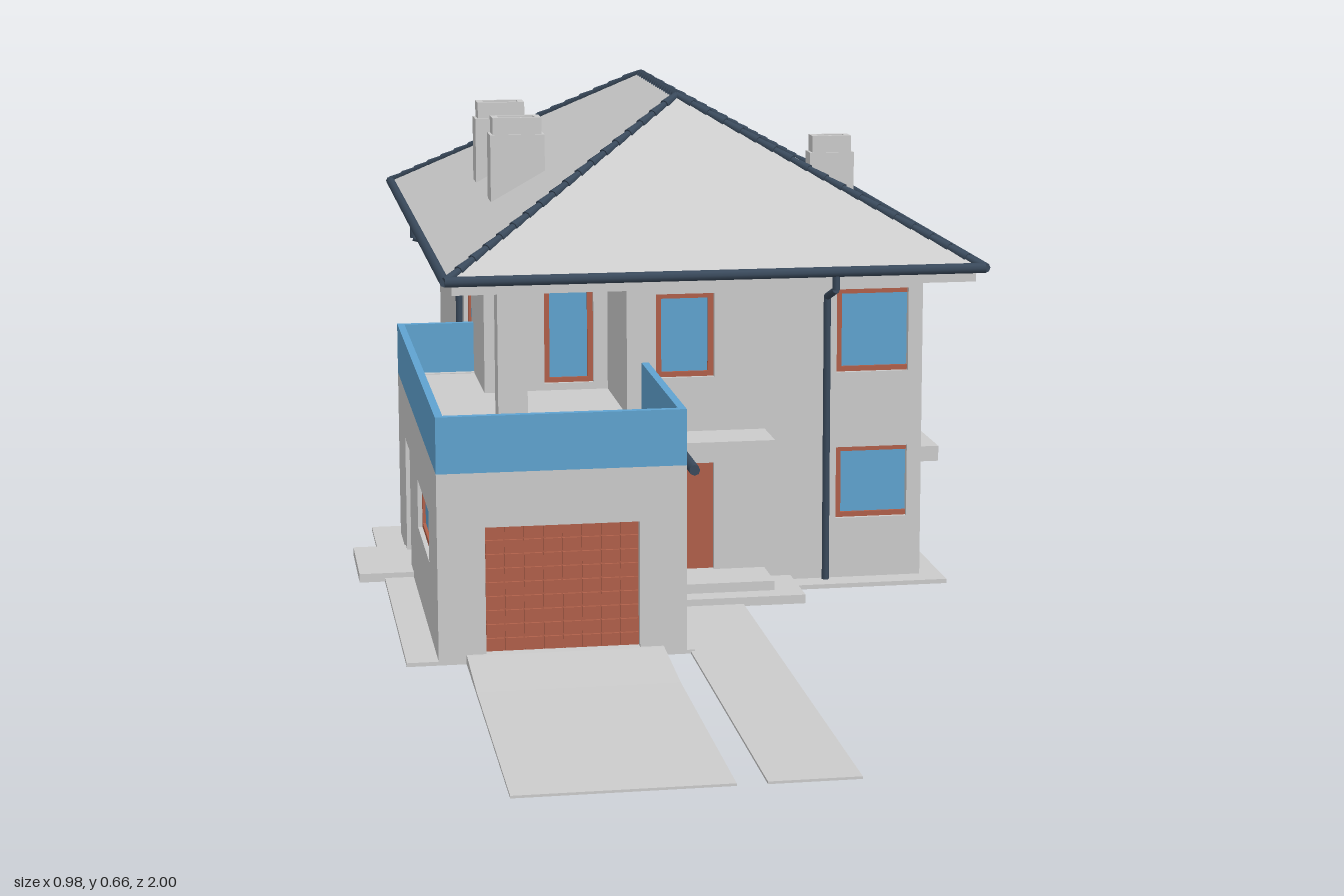
import * as THREE from 'three';

const mat = (color, side = THREE.FrontSide) => new THREE.MeshStandardMaterial({ color, side });
const GREY = mat(0xcccccc);
const GLASS = mat(0x5fa3d0);
const BROWN = mat(0xb0604a);
const DARK = mat(0x3a4a5c);
const EAVE = 0.445, SOFFIT = 0.425, TERRACE = 0.245;

function add(parent, name, geometry, material = GREY) {
  const mesh = new THREE.Mesh(geometry, material);
  mesh.name = name;
  parent.add(mesh);
  return mesh;
}

// Box from min/max limits on each axis
function block(parent, name, [x0, x1], [y0, y1], [z0, z1], material) {
  const mesh = add(parent, name, new THREE.BoxGeometry(x1 - x0, y1 - y0, z1 - z0), material);
  mesh.position.set((x0 + x1) / 2, (y0 + y1) / 2, (z0 + z1) / 2);
  return mesh;
}

// Straight run of n round pieces between two points
function rod(parent, name, a, b, r, n = 1, taper = 1) {
  const A = new THREE.Vector3(...a), B = new THREE.Vector3(...b);
  const dir = B.clone().sub(A), len = dir.length();
  for (let i = 0; i < n; i++) {
    const mesh = add(parent, name, new THREE.CylinderGeometry(r * taper, r, len / n, 8), DARK);
    mesh.position.copy(A).addScaledVector(dir, (i + 0.5) / n);
    mesh.quaternion.setFromUnitVectors(new THREE.Vector3(0, 1, 0), dir.clone().normalize());
  }
}

function rect(Kind, u0, u1, y0, y1) {
  return new Kind([[u0, y0], [u1, y0], [u1, y1], [u0, y1]].map(p => new THREE.Vector2(...p)));
}

const extrude = (shape, depth) => new THREE.ExtrudeGeometry(shape, { depth, bevelEnabled: false });

// Wall with openings [u0, u1, y0, y1, kind]; its outer face is the local z = 0 plane
function wall(parent, name, x, z, turn, [u0, u1], [y0, y1], openings = []) {
  const g = new THREE.Group();
  g.name = name;
  g.position.set(x, 0, z);
  g.rotation.y = turn * Math.PI / 2;
  parent.add(g);
  const shape = rect(THREE.Shape, u0, u1, y0, y1);
  for (const [a, b, c, d, kind = 'window'] of openings) {
    shape.holes.push(rect(THREE.Path, a, b, c, d));
    if (kind === 'door') {
      block(g, 'doorLeaf', [a, b], [c, d], [-0.018, -0.008], BROWN);
    } else if (kind === 'garageDoor') {
      const rows = 9, cols = 8, h = (d - c) / rows, w = (b - a) / cols;
      block(g, 'garageDoorBack', [a, b], [c, d], [-0.018, -0.012], BROWN);
      for (let r = 0; r < rows; r++) for (let k = 0; k < cols; k++) {
        block(g, 'garageDoorPanel', [a + k * w + 0.001, a + (k + 1) * w - 0.001],
          [c + r * h + 0.001, c + (r + 1) * h - 0.001], [-0.012, -0.008], BROWN);
      }
    } else {
      const frame = rect(THREE.Shape, a, b, c, d);
      frame.holes.push(rect(THREE.Path, a + 0.008, b - 0.008, c + 0.007, d - 0.007));
      add(g, 'windowFrame', extrude(frame, 0.012), BROWN).position.z = -0.018;
      block(g, 'windowPane', [a + 0.007, b - 0.007], [c + 0.006, d - 0.006], [-0.017, -0.01], GLASS);
    }
  }
  add(g, 'wallPanel', extrude(shape, 0.02)).position.z = -0.02;
  return g;
}

function buildWalls(house) {
  const full = [0, SOFFIT], upper = [TERRACE, SOFFIT];
  wall(house, 'frontWall', 0, 0.17, 0, [-0.13, 0.28], full, [
    [-0.09, -0.01, 0.295, 0.41], [0.16, 0.272, 0.295, 0.41], [0.16, 0.272, 0.09, 0.19],
    [-0.085, -0.01, 0.025, 0.175, 'door'],
  ]);
  wall(house, 'leftWall', 0.28, 0, 1, [-0.17, 0.61], full, [
    [-0.16, -0.05, 0.295, 0.41], [0.19, 0.28, 0.31, 0.41], [0.415, 0.525, 0.295, 0.41],
    [-0.16, -0.05, 0.09, 0.19], [0.185, 0.29, 0.09, 0.19], [0.415, 0.525, 0.09, 0.19],
  ]);
  wall(house, 'backWall', 0, -0.77, 2, [-0.09, 0.305], full,
    [[0.045, 0.205, 0.295, 0.41], [0.045, 0.205, 0.09, 0.19]]);
  wall(house, 'rightWall', -0.305, 0, -1, [-0.77, -0.02], full, [[-0.33, -0.21, 0.26, 0.41]]);
  // Back corner recess behind the balcony
  wall(house, 'balconySideWall', 0.09, 0, 1, [0.61, 0.77], full,
    [[0.62, 0.7, 0.255, 0.41], [0.62, 0.7, 0.03, 0.21]]);
  wall(house, 'balconyInnerWall', 0, -0.61, 2, [-0.28, -0.09], full,
    [[-0.24, -0.13, 0.255, 0.41], [-0.24, -0.13, 0.03, 0.21]]);
  // Front corner recess above the terrace
  wall(house, 'terraceInnerWall', 0, -0.02, 0, [-0.305, -0.13], upper, [[-0.22, -0.15, 0.255, 0.41]]);
  wall(house, 'terraceSideWall', -0.13, 0, -1, [-0.02, 0.17], upper);
  block(house, 'terracePost', [-0.305, -0.265], [TERRACE, SOFFIT], [0.13, 0.17]);
  block(house, 'balconyPost', [0.235, 0.28], [0, SOFFIT], [-0.76, -0.715]);
  block(house, 'balconySlab', [0.09, 0.28], [0.215, 0.245], [-0.765, -0.61]);
  block(house, 'balconyGlassBack', [0.09, 0.235], [0.245, 0.32], [-0.755, -0.745], GLASS);
  block(house, 'balconyGlassSide', [0.265, 0.275], [0.245, 0.32], [-0.715, -0.61], GLASS);
  // Front entrance canopy and door handle
  block(house, 'canopy', [-0.09, 0.06], [0.198, 0.22], [0.17, 0.245]);
  block(house, 'doorHandle', [-0.076, -0.071], [0.05, 0.14], [0.162, 0.176], DARK);
}

function buildGarage(garage) {
  const h = [0, TERRACE];
  wall(garage, 'garageFront', 0, 0.485, 0, [-0.415, -0.1], h, [[-0.355, -0.16, 0.012, 0.175, 'garageDoor']]);
  wall(garage, 'garageLeftWall', -0.1, 0, 1, [-0.485, -0.17], h, [[-0.335, -0.205, 0.1, 0.167]]);
  wall(garage, 'garageRightWall', -0.415, 0, -1, [-0.19, 0.485], h,
    [[0.165, 0.355, 0.1, 0.167], [-0.06, 0.025, 0.012, 0.175, 'door']]);
  wall(garage, 'garageBack', 0, -0.19, 2, [0.305, 0.415], h);
  block(garage, 'terraceFloor', [-0.41, -0.105], [0.225, 0.244], [-0.185, 0.48]);
  // Glass balustrade
  const y = [TERRACE, 0.317];
  block(garage, 'terraceGlassFront', [-0.415, -0.1], y, [0.475, 0.485], GLASS);
  block(garage, 'terraceGlassRight', [-0.415, -0.405], y, [-0.19, 0.475], GLASS);
  block(garage, 'terraceGlassLeft', [-0.11, -0.1], y, [0.17, 0.475], GLASS);
  block(garage, 'terraceGlassBack', [-0.405, -0.305], y, [-0.19, -0.18], GLASS);
  // Gutter and its downpipe
  rod(garage, 'garageGutter', [-0.09, 0.238, 0.17], [-0.09, 0.238, 0.485], 0.007);
  rod(garage, 'garageDownpipe', [-0.087, 0, 0.34], [-0.087, 0.238, 0.34], 0.005);
}

function buildRoof(roof) {
  const x0 = -0.38, x1 = 0.35, z0 = -0.83, z1 = 0.235;
  const A = [x0, EAVE, z1], B = [x1, EAVE, z1], C = [x1, EAVE, z0], D = [x0, EAVE, z0];
  const F = [-0.015, 0.65, -0.12], K = [-0.015, 0.65, -0.475];
  const geo = new THREE.BufferGeometry();
  const tris = [A, B, F, B, C, K, B, K, F, C, D, K, D, A, F, D, F, K];
  geo.setAttribute('position', new THREE.Float32BufferAttribute(tris.flat(), 3));
  geo.computeVertexNormals();
  add(roof, 'hippedRoof', geo);
  block(roof, 'soffit', [x0 + 0.01, x1 - 0.01], [SOFFIT, EAVE], [z0 + 0.01, z1 - 0.01]);
  // Ridge tiles and eave gutters
  for (const [a, b] of [[A, F], [B, F], [C, K], [D, K], [F, K]]) rod(roof, 'ridgeTile', a, b, 0.007, 18, 0.7);
  for (const [a, b] of [[A, B], [B, C], [C, D], [D, A]]) rod(roof, 'gutter', a, b, 0.007);
  // Chimneys with an open flue
  for (const [a, b, z, d, base, top] of [
    [-0.282, -0.204, -0.153, 0.046, 0.48, 0.62], [-0.282, -0.204, -0.375, 0.046, 0.48, 0.62],
    [0.185, 0.25, -0.153, 0.034, 0.48, 0.585]]) {
    block(roof, 'chimney', [a, b], [base, top - 0.024], [z - d / 2, z + d / 2]);
    const cap = rect(THREE.Shape, a + 0.004, b - 0.004, -d / 2 + 0.003, d / 2 - 0.003);
    cap.holes.push(rect(THREE.Path, a + 0.013, b - 0.013, -d / 2 + 0.01, d / 2 - 0.01));
    const mesh = add(roof, 'chimneyCap', extrude(cap, 0.024));
    mesh.rotation.x = -Math.PI / 2;
    mesh.position.set(0, top - 0.024, z);
  }
  // Downpipes: eave, bend, foot
  for (const path of [
    [[0.145, 0.44, 0.232], [0.145, 0.42, 0.232], [0.145, 0.402, 0.176], [0.145, 0, 0.176]],
    [[0.348, 0.44, -0.545], [0.348, 0.42, -0.545], [0.286, 0.402, -0.545], [0.286, 0, -0.545]],
    [[-0.378, 0.44, -0.345], [-0.378, 0.42, -0.345], [-0.311, 0.402, -0.345], [-0.311, 0, -0.345]],
    [[-0.285, 0.44, -0.828], [-0.285, 0.42, -0.828], [-0.285, 0.402, -0.776], [-0.285, 0, -0.776]]]) {
    for (let i = 0; i < 3; i++) rod(roof, 'downpipe', path[i], path[i + 1], 0.005);
  }
}

function buildGrounds(grounds) {
  block(grounds, 'houseApron', [-0.345, 0.31], [0, 0.006], [-0.8, 0.205]);
  block(grounds, 'garageApron', [-0.455, -0.09], [0, 0.005], [-0.23, 0.485]);
  block(grounds, 'patio', [-0.01, 0.487], [0.001, 0.026], [-0.965, -0.542]);
  block(grounds, 'patioStep', [0.065, 0.317], [0, 0.013], [-1, -0.965]);
  block(grounds, 'entranceLowerStep', [-0.1, 0.097], [0, 0.012], [0.17, 0.275]);
  block(grounds, 'entranceUpperStep', [-0.09, 0.06], [0.012, 0.025], [0.17, 0.245]);
  block(grounds, 'garageSideStep', [-0.49, -0.415], [0, 0.012], [-0.085, 0.067]);
  block(grounds, 'path', [-0.095, 0.012], [0, 0.003], [0.275, 1]);
  // Driveway sloping up to the garage door
  const profile = new THREE.Shape([[0.47, 0], [1, 0], [1, 0.003], [0.62, 0.004], [0.49, 0.012], [0.47, 0.012]]
    .map(p => new THREE.Vector2(...p)));
  const drive = add(grounds, 'driveway', extrude(profile, 0.25));
  drive.rotation.y = -Math.PI / 2;
  drive.position.x = -0.13;
}

export function createModel() {
  const model = new THREE.Group();
  model.name = 'house';
  for (const [name, build] of [['walls', buildWalls], ['garage', buildGarage], ['roof', buildRoof], ['grounds', buildGrounds]]) {
    const part = new THREE.Group();
    part.name = name;
    build(part);
    model.add(part);
  }
  return model;
}
